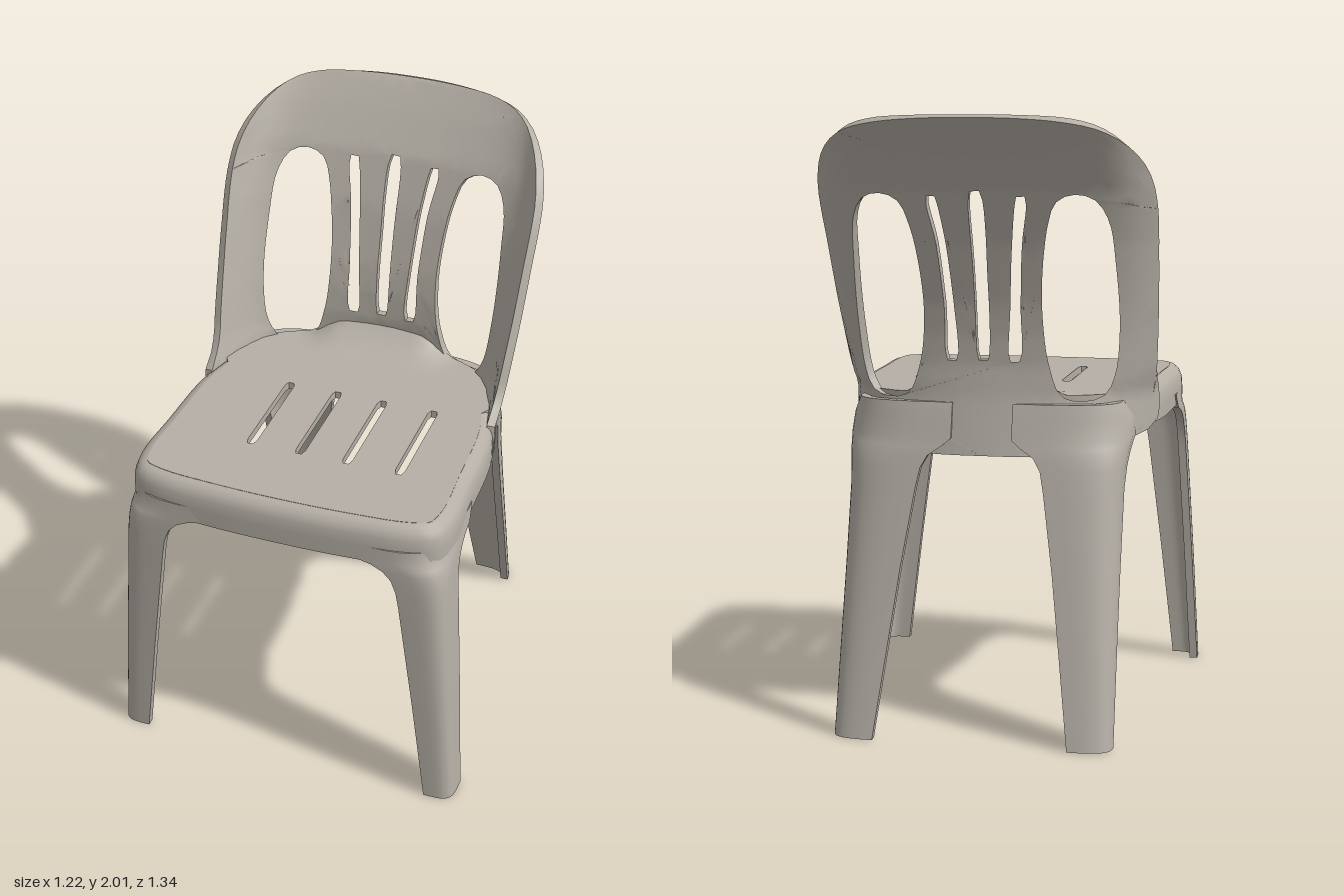
import * as THREE from 'three';
import { toCreasedNormals } from 'three/addons/utils/BufferGeometryUtils.js';

const V2 = (x, y) => new THREE.Vector2(x, y);

// Piecewise value from a list of [key, value], keys ascending
function track(points) {
  return (k) => {
    if (k <= points[0][0]) return points[0][1];
    for (let i = 1; i < points.length; i++) {
      const [a, va] = points[i - 1], [b, vb] = points[i];
      if (k <= b) return va + (vb - va) * (k - a) / (b - a);
    }
    return points[points.length - 1][1];
  };
}

// Smooth closed outline through points
function closedCurve(pts, n) {
  const c = new THREE.CatmullRomCurve3(pts.map(([x, y]) => new THREE.Vector3(x, y, 0)), true, 'centripetal');
  return c.getSpacedPoints(n).slice(0, n).map((p) => V2(p.x, p.y));
}

const mirrorX = (half) => half.concat(half.slice(1, -1).reverse().map(([x, y]) => [-x, y]));

// Thin extruded sheet, split finely and then moved by a rule
function bentSheet(shape, depth, maxEdge, rule) {
  const src = new THREE.ExtrudeGeometry(shape, { depth, bevelEnabled: false, curveSegments: 8 });
  const p = (src.index ? src.toNonIndexed() : src).getAttribute('position');
  const out = [];
  const split = (a, b, c) => {
    const ab = a.distanceTo(b), bc = b.distanceTo(c), ca = c.distanceTo(a);
    const m = Math.max(ab, bc, ca);
    if (m <= maxEdge) {
      for (const v of [a, b, c]) out.push(...rule(v).toArray());
    } else if (m === ab) {
      const d = a.clone().add(b).multiplyScalar(0.5); split(a, d, c); split(d, b, c);
    } else if (m === bc) {
      const d = b.clone().add(c).multiplyScalar(0.5); split(a, b, d); split(a, d, c);
    } else {
      const d = c.clone().add(a).multiplyScalar(0.5); split(a, b, d); split(d, b, c);
    }
  };
  const at = (i) => new THREE.Vector3().fromBufferAttribute(p, i);
  for (let i = 0; i < p.count; i += 3) split(at(i), at(i + 1), at(i + 2));
  const g = new THREE.BufferGeometry();
  g.setAttribute('position', new THREE.Float32BufferAttribute(out, 3));
  return toCreasedNormals(g, 0.7);
}

// Join closed rings of points; faces are turned outward by signed volume
function loft(rings, closed) {
  const n = rings[0].length, tris = [];
  const quad = (a, b, c, d) => tris.push([a, b, c], [a, c, d]);
  const last = closed ? rings.length : rings.length - 1;
  for (let i = 0; i < last; i++) {
    const r = rings[i], s = rings[(i + 1) % rings.length];
    for (let j = 0; j < n; j++) quad(r[j], r[(j + 1) % n], s[(j + 1) % n], s[j]);
  }
  if (!closed) {
    const a = rings[0], b = rings[rings.length - 1];
    for (let j = 0; j < n / 2 - 1; j++) {
      quad(a[j], a[n - 1 - j], a[n - 2 - j], a[j + 1]);
      quad(b[j], b[j + 1], b[n - 2 - j], b[n - 1 - j]);
    }
  }
  let volume = 0;
  for (const [a, b, c] of tris) volume += a.dot(b.clone().cross(c));
  const out = [];
  for (const [a, b, c] of tris) for (const v of volume > 0 ? [a, b, c] : [a, c, b]) out.push(v.x, v.y, v.z);
  const g = new THREE.BufferGeometry();
  g.setAttribute('position', new THREE.Float32BufferAttribute(out, 3));
  return toCreasedNormals(g, 0.75);
}

// Hollow corner leg; each row is [y, inner x, outer x, open z, corner z]
function leg(rows, side, power) {
  const th = 0.028, steps = 12;
  const rings = rows.map(([y, xi, xo, zo, zc]) => {
    const arc = (t) => Array.from({ length: steps + 1 }, (_, i) => {
      const a = (i / steps) * Math.PI / 2;
      const sx = i === 0 ? 0 : Math.sin(a) ** power, cz = i === steps ? 0 : Math.cos(a) ** power;
      const corner = zc - Math.sign(zc - zo) * t;
      return new THREE.Vector3(side * (xi + (xo - t - xi) * sx), y, zo + (corner - zo) * cz);
    });
    return arc(0).concat(arc(th).reverse());
  });
  return loft(rings, false);
}

// Backrest surface: centre depth, side edge depth and half width by height
const centreZ = track([[0.9, -0.435], [1.0, -0.415], [1.1, -0.395], [1.2, -0.385], [1.3, -0.39], [1.4, -0.405],
  [1.6, -0.455], [1.77, -0.515], [1.9, -0.595], [2, -0.665]]);
const sideZ = track([[1.1, 0], [1.14, -0.06], [1.2, -0.1], [1.4, -0.19], [1.6, -0.28], [1.76, -0.36], [2, -0.45]]);
const halfW = track([[1.1, 0.525], [1.4, 0.545], [1.75, 0.557]]);
function backZ(x, y) {
  const t = Math.min(Math.abs(x) / halfW(y), 1.05), c = centreZ(y);
  return c + (sideZ(y) - c) * (0.3 * t * t + 0.7 * t ** 8);
}
function backRule(v) {
  const h = 0.015;
  const fx = (backZ(v.x + h, v.y) - backZ(v.x - h, v.y)) / (2 * h);
  const fy = (backZ(v.x, v.y + h) - backZ(v.x, v.y - h)) / (2 * h);
  const n = new THREE.Vector3(-fx, -fy, 1).normalize();
  return new THREE.Vector3(v.x, v.y, backZ(v.x, v.y)).addScaledVector(n, v.z);
}

function backShape() {
  const half = [[0, 2], [0.16, 1.997], [0.3, 1.985], [0.4, 1.963], [0.47, 1.925], [0.52, 1.87], [0.548, 1.8],
    [0.557, 1.72], [0.552, 1.55], [0.545, 1.4], [0.535, 1.25], [0.525, 1.12], [0.525, 1.0], [0.515, 0.97],
    [0.45, 0.95], [0.35, 0.925], [0.2, 0.913], [0, 0.912]];
  const shape = new THREE.Shape(closedCurve(mirrorX(half), 110));
  const hole = (pts, n) => shape.holes.push(new THREE.Path(closedCurve(pts, n)));
  // Large side openings and slanted slots
  for (const s of [-1, 1]) {
    hole([[0.26, 1.1], [0.38, 1.1], [0.415, 1.16], [0.435, 1.32], [0.43, 1.55], [0.415, 1.68], [0.375, 1.745],
      [0.31, 1.76], [0.255, 1.735], [0.225, 1.66], [0.2, 1.5], [0.196, 1.35], [0.215, 1.2]].map(([x, y]) => [s * x, y]), 48);
    hole([[0.09, 1.215], [0.118, 1.215], [0.126, 1.4], [0.14, 1.6], [0.162, 1.74], [0.155, 1.757], [0.135, 1.757],
      [0.128, 1.74], [0.108, 1.6], [0.093, 1.4], [0.084, 1.23]].map(([x, y]) => [s * x, y]), 36);
  }
  // Straight middle slot
  hole([[-0.017, 1.22], [0.017, 1.22], [0.021, 1.25], [0.023, 1.5], [0.023, 1.74], [0.015, 1.77],
    [-0.015, 1.77], [-0.023, 1.74], [-0.023, 1.5], [-0.021, 1.25]], 36);
  return shape;
}

// Seat outline in x and z with outward normals
function seatOutline() {
  const half = [[0, 0.67], [0.25, 0.663], [0.43, 0.645], [0.515, 0.61], [0.545, 0.52], [0.541, 0.3], [0.53, 0.05],
    [0.5, -0.08], [0.465, -0.18], [0.4, -0.28], [0.29, -0.345], [0.15, -0.372], [0, -0.378]];
  const pts = closedCurve(mirrorX(half), 96);
  return pts.map((p, i) => {
    const d = pts[(i + 1) % 96].clone().sub(pts[(i + 95) % 96]).normalize();
    const n = V2(-d.y, d.x);
    return { p, n: n.dot(V2(p.x, p.y - 0.15)) < 0 ? n.negate() : n };
  });
}

export function createModel() {
  const chair = new THREE.Group();
  chair.name = 'chair';
  const plastic = new THREE.MeshStandardMaterial({ color: 0xb5afa6 });
  plastic.name = 'warm grey plastic';
  const add = (name, geometry) => {
    const mesh = new THREE.Mesh(geometry, plastic);
    mesh.name = name;
    chair.add(mesh);
  };

  add('backrest', bentSheet(backShape(), 0.028, 0.05, backRule));

  // Seat plate with four slots, sweeping up to the middle of the backrest
  const outline = seatOutline();
  const plate = new THREE.Shape(outline.map(({ p, n }) => {
    const q = p.clone().addScaledVector(n, p.y < -0.1 ? -0.005 : -0.045);
    return V2(q.x, -q.y);
  }));
  for (const x of [-0.207, -0.036, 0.128, 0.308]) {
    const w = 0.016;
    plate.holes.push(new THREE.Path([V2(x - w, -0.35), V2(x - w * 0.6, -0.372), V2(x + w * 0.6, -0.372),
      V2(x + w, -0.35), V2(x + w, -0.01), V2(x + w * 0.6, 0.01), V2(x - w * 0.6, 0.01), V2(x - w, -0.01)]));
  }
  add('seat', bentSheet(plate, 0.026, 0.06, (v) => {
    const k = Math.max(0, v.y - 0.2) / 0.18;
    const middle = 1 - THREE.MathUtils.smoothstep(Math.abs(v.x), 0.14, 0.28);
    return new THREE.Vector3(v.x, 1.079 + v.z + 0.09 * k * k * middle, -v.y);
  }));

  // Rounded rim and skirt around the seat
  add('seatSkirt', loft(outline.map(({ p, n }) => {
    const low = 0.963 + 0.015 * THREE.MathUtils.smoothstep(Math.abs(p.x), 0.35, 0.54);
    return [[-0.05, 1.105], [-0.03, 1.1], [-0.012, 1.085], [-0.002, 1.06], [0, 1.02], [0, low],
      [-0.026, low], [-0.026, 1.05], [-0.035, 1.07], [-0.05, 1.079]].map(([o, y]) =>
      new THREE.Vector3(p.x + n.x * o, y, p.y + n.y * o));
  }), true));

  // Legs flare at the top into the arches under the seat
  const frontRows = [[0, 0.51, 0.61, 0.55, 0.655], [0.4, 0.462, 0.588, 0.527, 0.658], [0.8, 0.41, 0.563, 0.503, 0.661],
    [0.86, 0.4, 0.559, 0.497, 0.662], [0.905, 0.383, 0.556, 0.48, 0.662], [0.935, 0.355, 0.554, 0.45, 0.662],
    [0.955, 0.315, 0.552, 0.41, 0.662], [0.968, 0.26, 0.551, 0.36, 0.662], [1.02, 0.24, 0.546, 0.32, 0.66]];
  const rearRows = [[0, 0.32, 0.46, -0.555, -0.632], [0.3, 0.282, 0.457, -0.47, -0.568], [0.55, 0.25, 0.455, -0.395, -0.516],
    [0.8, 0.212, 0.455, -0.32, -0.465], [0.87, 0.198, 0.46, -0.295, -0.45], [0.91, 0.175, 0.465, -0.27, -0.442],
    [0.94, 0.13, 0.47, -0.235, -0.435], [0.965, 0.1, 0.475, -0.2, -0.428], [1.03, 0.1, 0.465, -0.2, -0.414],
    [1.08, 0.1, 0.44, -0.24, -0.4]];
  for (const [side, word] of [[1, 'Left'], [-1, 'Right']]) {
    add('front' + word + 'Leg', leg(frontRows, side, 0.45));
    add('rear' + word + 'Leg', leg(rearRows, side, 0.65));
  }
  return chair;
}
